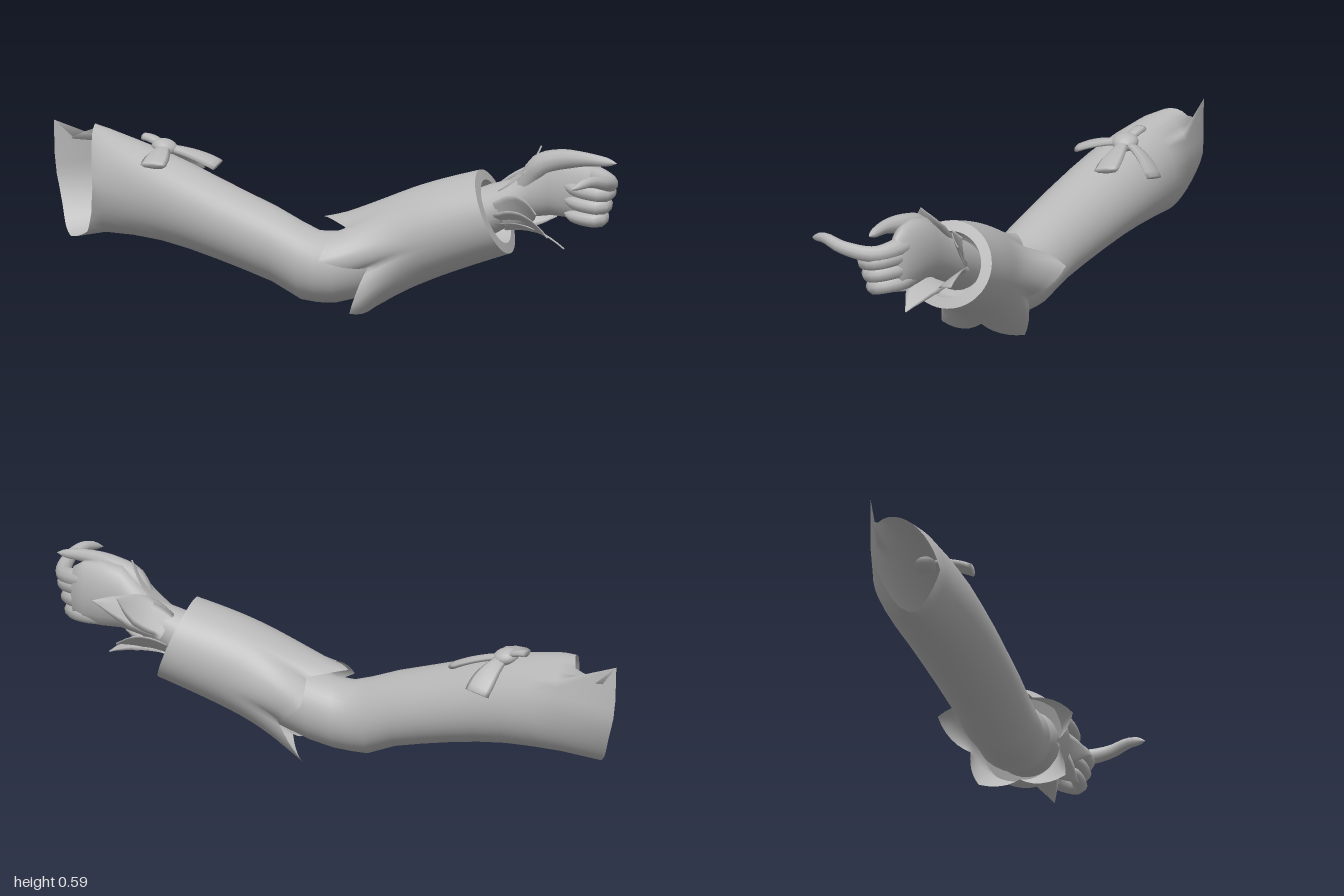
import * as THREE from 'three';

const V = (x, y, z) => new THREE.Vector3(x, y, z);
const lerp = THREE.MathUtils.lerp;
const grey = new THREE.MeshStandardMaterial({ color: 0xb8b8b8, side: THREE.DoubleSide });
grey.name = 'grey';

// Value at t (0 to 1) in an evenly spaced list
function sample(list, t) {
  const k = t * (list.length - 1), m = Math.min(Math.floor(k), list.length - 2);
  return lerp(list[m], list[m + 1], k - m);
}

// Smooth surface through closed rings that all have the same point count
function loft(name, rows) {
  const n = rows[0].length, index = [];
  for (let i = 0; i < rows.length - 1; i++) {
    for (let j = 0; j < n; j++) {
      const a = i * n + j, b = i * n + (j + 1) % n;
      index.push(a, a + n, b, b, a + n, b + n);
    }
  }
  const geo = new THREE.BufferGeometry().setFromPoints(rows.flat());
  geo.setIndex(index);
  geo.computeVertexNormals();
  const mesh = new THREE.Mesh(geo, grey);
  mesh.name = name;
  return mesh;
}

// Elliptical ring: centre, side and up axes, radii
function ring(c, side, up, rs, ru, n) {
  return Array.from({ length: n }, (_, j) => {
    const t = j / n * Math.PI * 2;
    return c.clone().addScaledVector(side, rs * Math.cos(t)).addScaledVector(up, ru * Math.sin(t));
  });
}

// Upright slices along x: [x, y, z, half height, half depth]
const slices = (list, n) => list.map(([x, y, z, a, b]) => ring(V(x, y, z), V(0, 0, 1), V(0, 1, 0), b, a, n));

// Tapered tube along a curve, rounded off at the tip
function finger(name, pts, radii) {
  const curve = new THREE.CatmullRomCurve3(pts.map(p => V(...p)));
  const N = 20, f = curve.computeFrenetFrames(N, false), rows = [];
  for (let i = 0; i <= N; i++) {
    const t = i / N;
    const r = sample(radii, t) * (i === N ? 0.05 : i === N - 1 ? 0.75 : 1);
    rows.push(ring(curve.getPointAt(t), f.normals[i], f.binormals[i], r, r, 10));
  }
  return loft(name, rows);
}

// Thin bent petal or ribbon; widths are sampled evenly from base to end
function petal(name, base, mid, end, normal, widths, thick) {
  const curve = new THREE.QuadraticBezierCurve3(V(...base), V(...mid), V(...end));
  const N = 10, rows = [];
  for (let i = 0; i <= N; i++) {
    const t = i / N, tan = curve.getTangent(t), side = tan.clone().cross(V(...normal)).normalize();
    rows.push(ring(curve.getPoint(t), side, side.clone().cross(tan).normalize(), sample(widths, t), thick, 8));
  }
  rows.push(rows[N].map(() => V(...end)));
  return loft(name, rows);
}

// Sleeve with an open, ragged shoulder end
function makeSleeve() {
  const n = 36;
  const rows = slices([
    [-0.9, 0.335, -0.31, 0.185, 0.112], [-0.8, 0.342, -0.3, 0.17, 0.12],
    [-0.7, 0.33, -0.268, 0.158, 0.132], [-0.6, 0.313, -0.23, 0.148, 0.14],
    [-0.5, 0.288, -0.19, 0.14, 0.138], [-0.4, 0.258, -0.15, 0.133, 0.135],
    [-0.3, 0.227, -0.112, 0.128, 0.13], [-0.2, 0.195, -0.075, 0.125, 0.125],
    [-0.1, 0.15, -0.037, 0.127, 0.12], [-0.04, 0.137, -0.015, 0.118, 0.116],
    [0.02, 0.14, -0.003, 0.118, 0.112], [0.1, 0.165, 0, 0.122, 0.11],
    [0.25, 0.23, 0.01, 0.125, 0.115], [0.42, 0.3, 0.02, 0.1, 0.095]], n);
  // Rim position every 30 degrees: front, top, back, bottom, front
  const rim = [-0.83, -0.84, -0.848, -0.85, -0.86, -1, -0.99, -0.965, -0.945, -0.92, -0.86, -0.84, -0.83];
  rows[0].forEach((p, j) => {
    const k = Math.sin(j / n * Math.PI * 2);
    p.x = sample(rim, j / n);
    if (k > 0) p.z = Math.max(-0.42, p.z - 0.04 * k);
    else p.z = -0.31 + (p.z + 0.31) * (1 + 0.4 * k);
    if (j === 15) p.y = 0.515;
  });
  rows[1].forEach((p, j) => { p.z -= 0.015 * Math.max(0, Math.sin(j / n * Math.PI * 2)); });
  return loft('sleeve', rows);
}

// Wide cuff: five pointed flaps at the elbow, thick rim at the wrist
function makeCuff() {
  const O = V(0.1, 0.165, -0.003), E = V(0.555, 0.35, 0.036);
  const D = E.clone().sub(O), L = D.length();
  D.normalize();
  const up = V(0, 1, 0).addScaledVector(D, -D.y).normalize(), side = D.clone().cross(up);
  const at = (s, r, a) => O.clone().addScaledVector(D, s)
    .addScaledVector(up, 0.014 * Math.sin(Math.PI * THREE.MathUtils.clamp(s / L, 0, 1)))
    .addScaledVector(side, r * Math.cos(a)).addScaledVector(up, r * Math.sin(a));
  // Flap tips: angle in degrees, distance along the cuff, radius, notch after the flap
  const tips = [[-123, -0.06, 0.187, 0.02], [-37, -0.043, 0.23, 0.06], [16, -0.064, 0.228, 0.02],
    [97, -0.07, 0.176, 0.04], [162, 0, 0.245, 0.07], [237, -0.06, 0.187]];
  const spokes = [];
  for (let k = 0; k < 5; k++) {
    for (let j = 0; j < 12; j++) {
      const f = j / 12, tip = tips[f < 0.5 ? k : k + 1], w = Math.abs(2 * f - 1);
      spokes.push({
        a: THREE.MathUtils.degToRad(lerp(tips[k][0], tips[k + 1][0], f)),
        s: lerp(tips[k][3], tip[1], w), flare: (tip[2] - 0.146) * w,
      });
    }
  }
  const rows = [];
  for (let i = 0; i <= 14; i++) {
    const t = i / 14;
    rows.push(spokes.map(p => at(lerp(p.s, L, t),
      0.146 + 0.006 * Math.sin(t * Math.PI) + p.flare * Math.max(0, 1 - t * 2) ** 2, p.a)));
  }
  const flat = (s, r) => spokes.map(p => at(s, r, p.a));
  const cuff = new THREE.Group();
  cuff.name = 'cuff';
  cuff.add(loft('cuffShell', rows));
  cuff.add(loft('cuffRim', [flat(L, 0.146), flat(L + 0.003, 0.11)]));
  cuff.add(loft('cuffLining', [flat(L + 0.003, 0.11), flat(L - 0.1, 0.1), flat(L - 0.1, 0.02)]));
  return cuff;
}

// Hand with one pointing finger, three curled fingers and a thumb
function makeHand() {
  const hand = new THREE.Group();
  hand.name = 'hand';
  hand.add(loft('palm', slices([
    [0.46, 0.32, 0.03, 0.09, 0.085], [0.54, 0.355, 0.036, 0.087, 0.08],
    [0.62, 0.39, 0.046, 0.075, 0.066], [0.68, 0.425, 0.06, 0.083, 0.06],
    [0.75, 0.46, 0.08, 0.106, 0.062], [0.82, 0.462, 0.095, 0.112, 0.056],
    [0.88, 0.46, 0.108, 0.106, 0.046], [0.92, 0.455, 0.118, 0.085, 0.028],
    [0.93, 0.455, 0.12, 0.001, 0.001]], 20)));
  hand.add(finger('indexFinger', [[0.8, 0.51, 0.09], [0.9, 0.5, 0.115], [0.965, 0.488, 0.185],
    [0.968, 0.505, 0.29], [0.93, 0.522, 0.36], [0.88, 0.505, 0.415]],
  [0.03, 0.033, 0.028, 0.024, 0.019, 0.012]));
  [0.46, 0.415, 0.37].forEach((y, i) => {
    const d = i * 0.012;
    hand.add(finger('curledFinger', [[0.8, y + 0.01, 0.09], [0.9, y + 0.01, 0.115], [0.96 - d, y, 0.175],
      [0.95 - d, y - 0.005, 0.222 - d], [0.88 - d, y, 0.212 - d], [0.81, y + 0.01, 0.17]],
    [0.028, 0.03, 0.027, 0.025, 0.023, 0.016]));
  });
  hand.add(finger('thumb', [[0.66, 0.44, 0.07], [0.72, 0.52, 0.1], [0.79, 0.548, 0.125],
    [0.88, 0.56, 0.165], [0.99, 0.555, 0.195]], [0.035, 0.042, 0.034, 0.022, 0.012]));
  return hand;
}

export function createModel() {
  const arm = new THREE.Group();
  arm.name = 'arm';
  arm.add(makeSleeve(), makeCuff(), makeHand());

  // Pointed petals fanning out around the wrist
  const leaf = [0.045, 0.056, 0.055, 0.036, 0.002];
  [[0.72, 0.585, 0.09], [0.82, 0.49, -0.062], [0.73, 0.385, 0.245],
    [0.8, 0.25, 0.12], [0.76, 0.3, 0.2], [0.74, 0.5, -0.055], [0.75, 0.33, -0.02]].forEach(tip => {
    const out = V(0, tip[1] - 0.43, tip[2] - 0.06).normalize();
    const base = [0.58, 0.37 + out.y * 0.068, 0.04 + out.z * 0.068];
    const mid = [0.68, 0.415 + out.y * 0.08, 0.06 + out.z * 0.08];
    arm.add(petal('wristPetal', base, mid, tip, [0, out.y, out.z], leaf, 0.003));
  });

  // Bow with a domed knot on the upper arm
  const bow = new THREE.Group();
  bow.name = 'bow';
  const C = [-0.6, 0.468, -0.258], wide = [0.016, 0.026, 0.036, 0.044, 0.044];
  [[[-0.6, 0.468, -0.17], [-0.61, 0.435, -0.1], [0, 1, 0.2], wide],
    [[-0.5, 0.457, -0.25], [-0.42, 0.418, -0.24], [0.2, 1, 0.2], wide],
    [[-0.555, 0.45, -0.335], [-0.525, 0.375, -0.375], [0, 1, -0.7], wide],
    [[-0.64, 0.495, -0.28], [-0.675, 0.495, -0.29], [-0.2, 1, 0], [0.016, 0.024, 0.024]],
  ].forEach(([mid, end, normal, widths]) => bow.add(petal('bowRibbon', C, mid, end, normal, widths, 0.012)));
  const knot = new THREE.Mesh(new THREE.SphereGeometry(0.044, 20, 12), grey);
  knot.name = 'bowKnot';
  knot.scale.y = 0.65;
  knot.position.set(...C);
  knot.rotation.z = -0.2;
  bow.add(knot);
  arm.add(bow);
  return arm;
}
